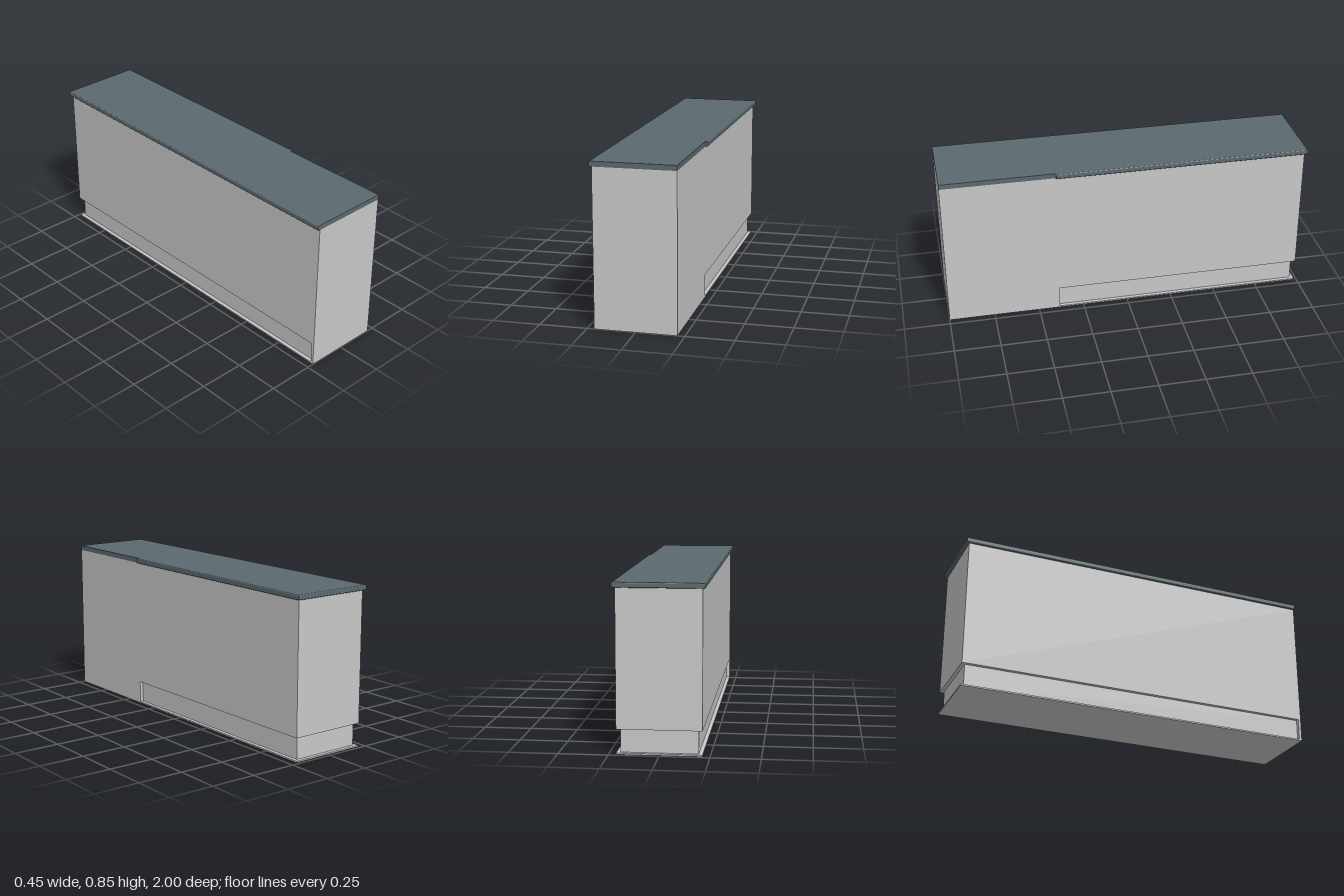
import * as THREE from 'three';

const W = 0.213, BACK = -0.985, FRONT = 1, STEP = 0.385, KICK = 0.02;

// Closed solid from horizontal rings { y, plan: [[x, z], ...] }, listed bottom to top,
// each plan running counter-clockwise as seen from above.
function loft(rings) {
  const pos = [];
  const put = (ring, i) => {
    const p = ring.plan[i % ring.plan.length];
    pos.push(p[0], ring.y, p[1]);
  };
  for (let r = 0; r < rings.length - 1; r++) {
    const lo = rings[r], hi = rings[r + 1];
    for (let i = 0; i < lo.plan.length; i++) {
      put(lo, i); put(lo, i + 1); put(hi, i + 1);
      put(lo, i); put(hi, i + 1); put(hi, i);
    }
  }
  const cap = (ring, up) => {
    const pts = ring.plan.map(([x, z]) => new THREE.Vector2(x, -z));
    for (const [a, b, c] of THREE.ShapeUtils.triangulateShape(pts, [])) {
      (up ? [a, b, c] : [a, c, b]).forEach((i) => put(ring, i));
    }
  };
  cap(rings[0], false);
  cap(rings[rings.length - 1], true);
  const geo = new THREE.BufferGeometry();
  geo.setAttribute('position', new THREE.Float32BufferAttribute(pos, 3));
  geo.computeVertexNormals();
  return geo;
}

// Countertop outline: overhangs the back, the right and the first stretch of the left side
const topPlan = (o) => [
  [-W - o, FRONT], [W, FRONT], [W, STEP], [W + o, STEP], [W + o, BACK - o], [-W - o, BACK - o],
];

const cabinetPlan = [[-W, FRONT], [W, FRONT], [W, BACK], [-W, BACK]];

// Toe-kick outline, set back behind the front panel and the solid left end
const kickPlan = [
  [-W, FRONT], [W, FRONT], [W, STEP], [W - KICK, STEP], [W - KICK, BACK + KICK],
  [-W + KICK, BACK + KICK], [-W + KICK, FRONT - 0.015], [-W, FRONT - 0.015],
];

export function createModel() {
  const group = new THREE.Group();
  const cabinetGrey = new THREE.MeshStandardMaterial({ name: 'cabinetGrey', color: 0xc8c8c8 });
  const slateTop = new THREE.MeshStandardMaterial({ name: 'slateTop', color: 0x5b696f });

  const add = (name, material, rings) => {
    const mesh = new THREE.Mesh(loft(rings), material);
    mesh.name = name;
    group.add(mesh);
  };
  const prism = (plan, y0, y1) => [{ y: y0, plan }, { y: y1, plan }];

  add('basePlate', cabinetGrey, prism(cabinetPlan, 0, 0.008));
  add('toeKick', cabinetGrey, prism(kickPlan, 0.008, 0.127));
  add('cabinetBody', cabinetGrey, prism(cabinetPlan, 0.127, 0.826));

  // Countertop with softly rounded overhanging edges
  const y0 = 0.826, y1 = 0.853, r = 0.005, reach = 0.014;
  const rings = [];
  for (let i = 0; i <= 3; i++) {
    const a = (i / 3) * Math.PI / 2;
    rings.push({ y: y0 + r * (1 - Math.cos(a)), plan: topPlan(reach - r * (1 - Math.sin(a))) });
  }
  for (let i = 0; i <= 3; i++) {
    const a = (i / 3) * Math.PI / 2;
    rings.push({ y: y1 - r * (1 - Math.sin(a)), plan: topPlan(reach - r * (1 - Math.cos(a))) });
  }
  add('countertop', slateTop, rings);

  return group;
}
